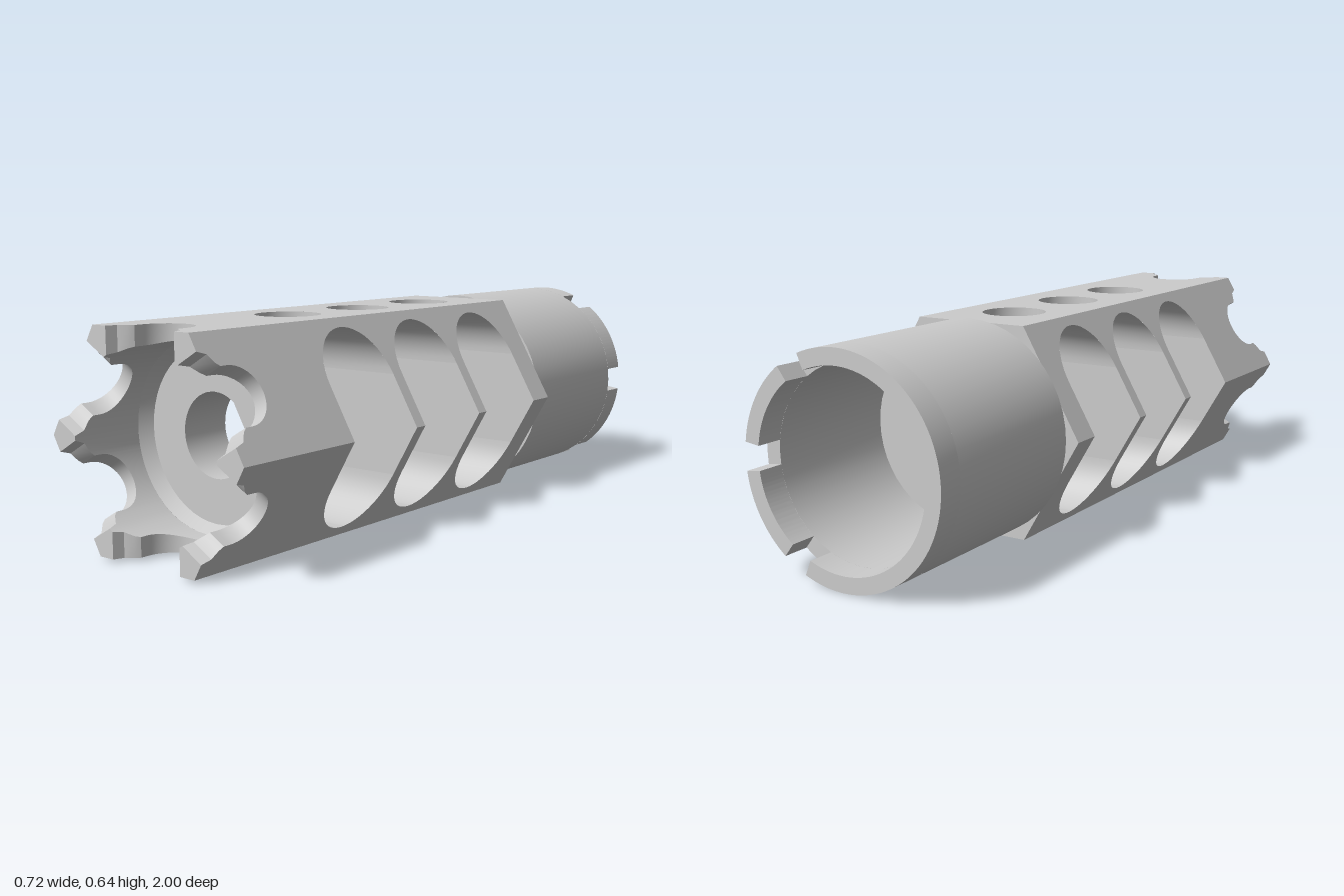
import * as THREE from 'three';
import { toCreasedNormals, mergeGeometries } from 'three/addons/utils/BufferGeometryUtils.js';

const A = 0.31;                    // hex apothem
const S = A / Math.sin(Math.PI / 3); // hex side = corner radius
const Y0 = 0.318;                  // height of the axis
const FRONT = 1, SHOULDER = -0.42, BACK = -1;
const SLOTS = [-0.19, 0.1275, 0.445]; // slot centres along z
const R = 0.139, H = 0.145;        // slot end radius, half straight length
const BORE = 0.12, PORT = 0.095, CUP = 0.267, TUBE = 0.318, SOCKET = 0.272;
const halfWidth = y => S - Math.abs(y) / Math.sqrt(3);

// Surface through rows of points
function loft(rows) {
  const pos = rows.flat(2), idx = [], n = rows[0].length;
  for (let i = 0; i < rows.length - 1; i++)
    for (let j = 0; j < n - 1; j++) {
      const a = i * n + j, b = a + n;
      idx.push(a, b, a + 1, b, b + 1, a + 1);
    }
  const g = new THREE.BufferGeometry();
  g.setAttribute('position', new THREE.Float32BufferAttribute(pos, 3));
  g.setIndex(idx);
  return toCreasedNormals(g, 0.6);
}

// Surface of revolution about z from [radius, z] pairs
function revolve(profile) {
  const g = new THREE.LatheGeometry(profile.map(p => new THREE.Vector2(...p)), 48);
  g.rotateX(Math.PI / 2);
  return toCreasedNormals(g, 0.5);
}

// Flat shape whose (x, y) is carried to a plane in space by a rule
function flat(points, holes, rule) {
  const shape = new THREE.Shape(points.map(p => new THREE.Vector2(...p)));
  for (const [x, y, r] of holes)
    shape.holes.push(new THREE.Path().absarc(x, y, r, 0, Math.PI * 2, true));
  const g = new THREE.ShapeGeometry(shape, 24), p = g.attributes.position;
  for (let i = 0; i < p.count; i++) p.setXYZ(i, ...rule(p.getX(i), p.getY(i)));
  g.computeVertexNormals();
  return g;
}

// Scallop in the crown: [sideways offset, z], left to right
const half = [];
for (let i = 0; i <= 10; i++) {
  const a = (i / 10) * Math.PI / 2;
  half.push([0.083 * Math.sin(a), 0.92 - 0.085 * Math.cos(a)]);
}
half.push([0.083, 0.942], [0.094, 0.955], [0.118, 0.97], [0.128, FRONT]);
const scallop = [...half.slice(1).reverse().map(([d, z]) => [-d, z]), ...half];

export function createModel() {
  const model = new THREE.Group();
  const body = new THREE.Group();
  body.position.y = Y0;
  model.add(body);
  const mat = new THREE.MeshStandardMaterial({ color: 0xcccccc, side: THREE.DoubleSide });
  const add = (name, g) => {
    const m = new THREE.Mesh(g, mat);
    m.name = name;
    body.add(m);
    return m;
  };

  // Top and bottom flats with round ports
  const flatFace = flat(
    [[-S / 2, SHOULDER], [-S / 2, FRONT], ...scallop, [S / 2, FRONT], [S / 2, SHOULDER]],
    SLOTS.map(z => [0, z, PORT]), (x, z) => [x, A, z]);
  for (const s of [1, -1]) add('portedFlat', flatFace).scale.y = s;

  // Four slanted flats, notched by the side slots
  const outline = [[0, SHOULDER]];
  for (const zc of SLOTS) {
    outline.push([0, zc - R]);
    for (let i = 0; i <= 24; i++) {
      const a = Math.PI * (1 - i / 24);
      outline.push([(H + R * Math.sin(a)) / Math.sin(Math.PI / 3), zc + R * Math.cos(a)]);
    }
    outline.push([0, zc + R]);
  }
  outline.push([0, FRONT], ...scallop.map(([d, z]) => [S / 2 + d, z]), [S, FRONT], [S, SHOULDER]);
  const slant = flat(outline, [], (v, z) => [S - v / 2, v * Math.sin(Math.PI / 3), z]);
  for (const sx of [1, -1])
    for (const sy of [1, -1]) add('slantedFlat', slant).scale.set(sx, sy, 1);

  // Crown: scallop walls with front tips, and the cup wall behind them
  const edge = [[-S / 2, -CUP / 2, FRONT], ...scallop.map(([d, z]) => [d, d, z]), [S / 2, CUP / 2, FRONT]];
  const cupY = d => Math.sqrt(CUP * CUP - d * d);
  const crownWall = loft(edge.map(([o, d, z]) => [[o, A, z], [d, cupY(d), z]]));
  const cupWall = loft(edge.map(([, d, z]) => [[d, cupY(d), z], [d, cupY(d), 0.78]]));
  for (let i = 0; i < 6; i++) {
    add('crownScallop', crownWall).rotation.z = i * Math.PI / 3;
    add('cupWall', cupWall).rotation.z = i * Math.PI / 3;
  }
  add('cupFloor', revolve([[CUP, 0.78], [0.247, 0.74], [BORE, 0.74], [BORE, SLOTS[2] + R]]));

  // Slots: rounded roofs, port walls and flat baffle faces
  const k = Math.acos(PORT / R), angles = [];
  for (let i = 0; i < 6; i++) angles.push(k * i / 6);
  for (let i = 0; i <= 24; i++) angles.push(k + (Math.PI - 2 * k) * i / 24);
  for (let i = 5; i >= 0; i--) angles.push(Math.PI - k * i / 6);
  const roofHalf = loft(angles.map(a => {
    const dz = R * Math.cos(a), y = H + R * Math.sin(a);
    return [[Math.sqrt(Math.max(0, PORT * PORT - dz * dz)), y, dz], [halfWidth(y), y, dz]];
  }));
  const portRows = [];
  for (let i = 0; i <= 40; i++) {
    const a = i / 40 * Math.PI * 2, x = PORT * Math.cos(a), z = PORT * Math.sin(a);
    portRows.push([[x, A, z], [x, H + Math.sqrt(R * R - z * z), z]]);
  }
  const portWall = loft(portRows);
  const w = halfWidth(H);
  const baffle = flat([[S, 0], [w, H], [-w, H], [-S, 0], [-w, -H], [w, -H]],
    [[0, 0, BORE]], (x, y) => [x, y, 0]);
  for (const zc of SLOTS) {
    for (const sy of [1, -1]) {
      for (const sx of [1, -1]) {
        const roof = add('slotRoof', roofHalf);
        roof.scale.set(sx, sy, 1);
        roof.position.z = zc;
      }
      const port = add('portWall', portWall);
      port.scale.y = sy;
      port.position.z = zc;
      add('baffleFace', baffle).position.z = zc + sy * R;
    }
  }
  for (let i = 0; i < 2; i++)
    add('baffleBore', revolve([[BORE, SLOTS[i] + R], [BORE, SLOTS[i + 1] - R]]));

  // Shoulder at the back of the hexagon
  const hex = [];
  for (let i = 0; i < 6; i++) hex.push([S * Math.cos(i * Math.PI / 3), S * Math.sin(i * Math.PI / 3)]);
  add('shoulder', flat(hex, [[0, 0, 0.3]], (x, y) => [x, y, SHOULDER]));

  // Rear tube with its socket
  const RIM = -0.92;
  add('rearTube', revolve([[BORE, SLOTS[0] - R], [BORE, -0.5], [SOCKET, -0.5], [SOCKET, RIM],
    [TUBE, RIM], [TUBE, SHOULDER], [0.3, SHOULDER]]));

  // Rear rim, broken by three notches on the left side
  const n = 0.125, t = Math.PI / 3;
  const rim = [[-t + n, -n], [n, t - n], [t + n, 2 * Math.PI - t - n]].map(([a, b]) => {
    const arc = new THREE.Shape();
    arc.absarc(0, 0, TUBE, a, b, false);
    arc.absarc(0, 0, SOCKET, b, a, true);
    const g = new THREE.ExtrudeGeometry(arc, { depth: RIM - BACK, bevelEnabled: false, curveSegments: 32 });
    g.translate(0, 0, BACK);
    return toCreasedNormals(g, 0.5);
  });
  add('notchedRim', mergeGeometries(rim));

  return model;
}
